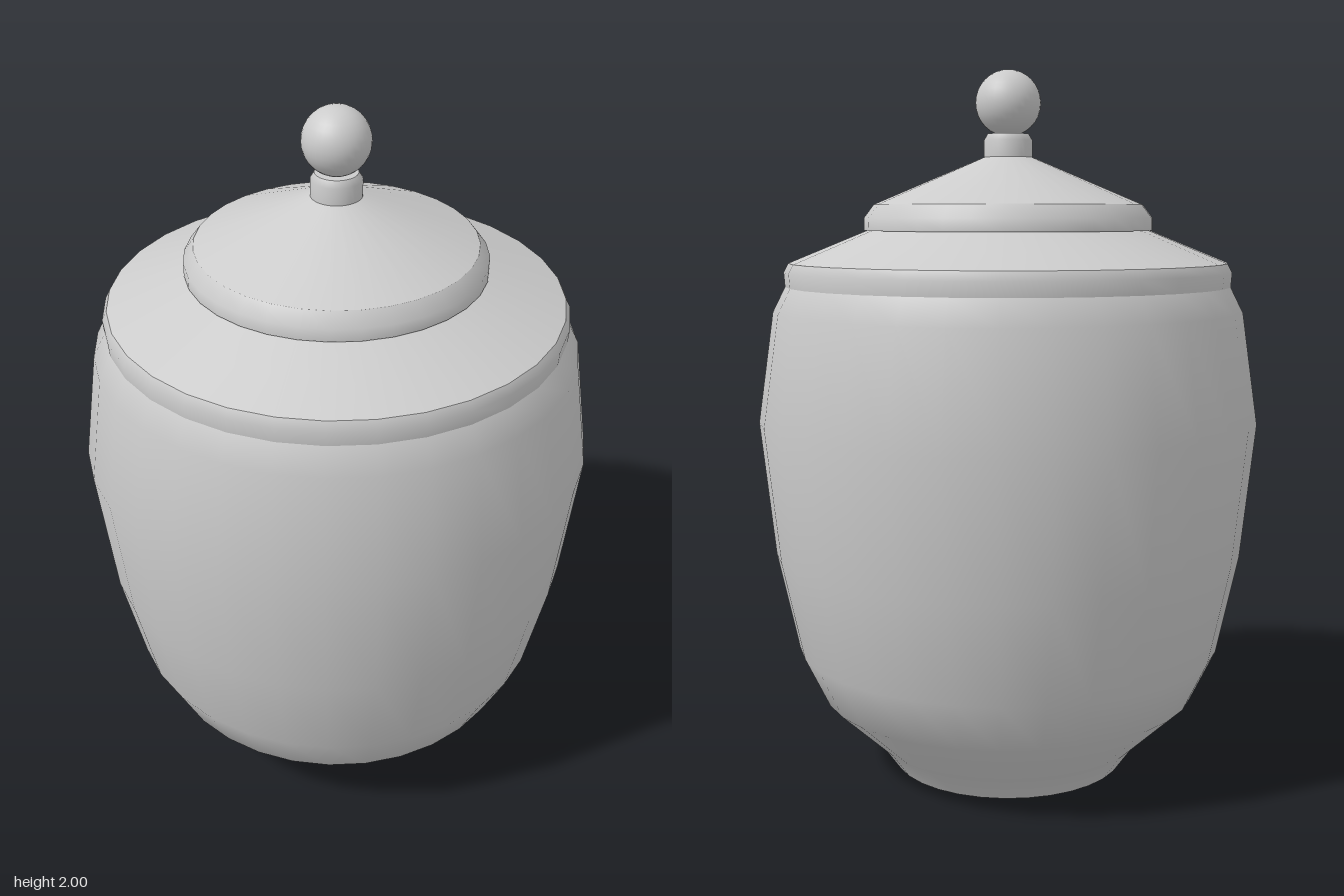
import * as THREE from 'three';

const SEGMENTS = 32;
const material = new THREE.MeshStandardMaterial({ color: 0xcccccc, side: THREE.DoubleSide });

// Each smooth run of [radius, height] points is its own lathe, so edges between runs stay sharp.
function turned(name, runs) {
  const part = new THREE.Group();
  part.name = name;
  runs.forEach((run, i) => {
    const points = run.map(([r, y]) => new THREE.Vector2(r, y));
    const mesh = new THREE.Mesh(new THREE.LatheGeometry(points, SEGMENTS), material);
    mesh.name = `${name}Section${i + 1}`;
    part.add(mesh);
  });
  return part;
}

export function createModel() {
  const jar = new THREE.Group();
  jar.name = 'liddedJar';

  // Flat base and swelling belly
  jar.add(turned('body', [
    [[0, 0], [0.335, 0]],
    [[0.335, 0], [0.385, 0.07], [0.54, 0.215], [0.61, 0.36], [0.67, 0.64],
      [0.71, 1.02], [0.665, 1.33], [0.63, 1.4]],
  ]));

  // Rolled rim and sloping shoulder
  jar.add(turned('shoulder', [
    [[0.63, 1.4], [0.633, 1.44], [0.62, 1.465]],
    [[0.62, 1.465], [0.4, 1.555]],
  ]));

  // Conical lid with a rounded edge
  jar.add(turned('lid', [
    [[0, 1.555], [0.408, 1.555]],
    [[0.408, 1.555], [0.408, 1.59], [0.38, 1.627]],
    [[0.38, 1.627], [0.065, 1.76]],
  ]));

  // Collar under the knob
  jar.add(turned('knobCollar', [
    [[0.069, 1.757], [0.069, 1.805], [0.058, 1.823]],
    [[0.058, 1.823], [0, 1.823]],
  ]));

  // Ball knob
  const knob = new THREE.Mesh(new THREE.SphereGeometry(0.092, SEGMENTS, 16), material);
  knob.name = 'knob';
  knob.position.y = 1.908;
  jar.add(knob);

  return jar;
}
